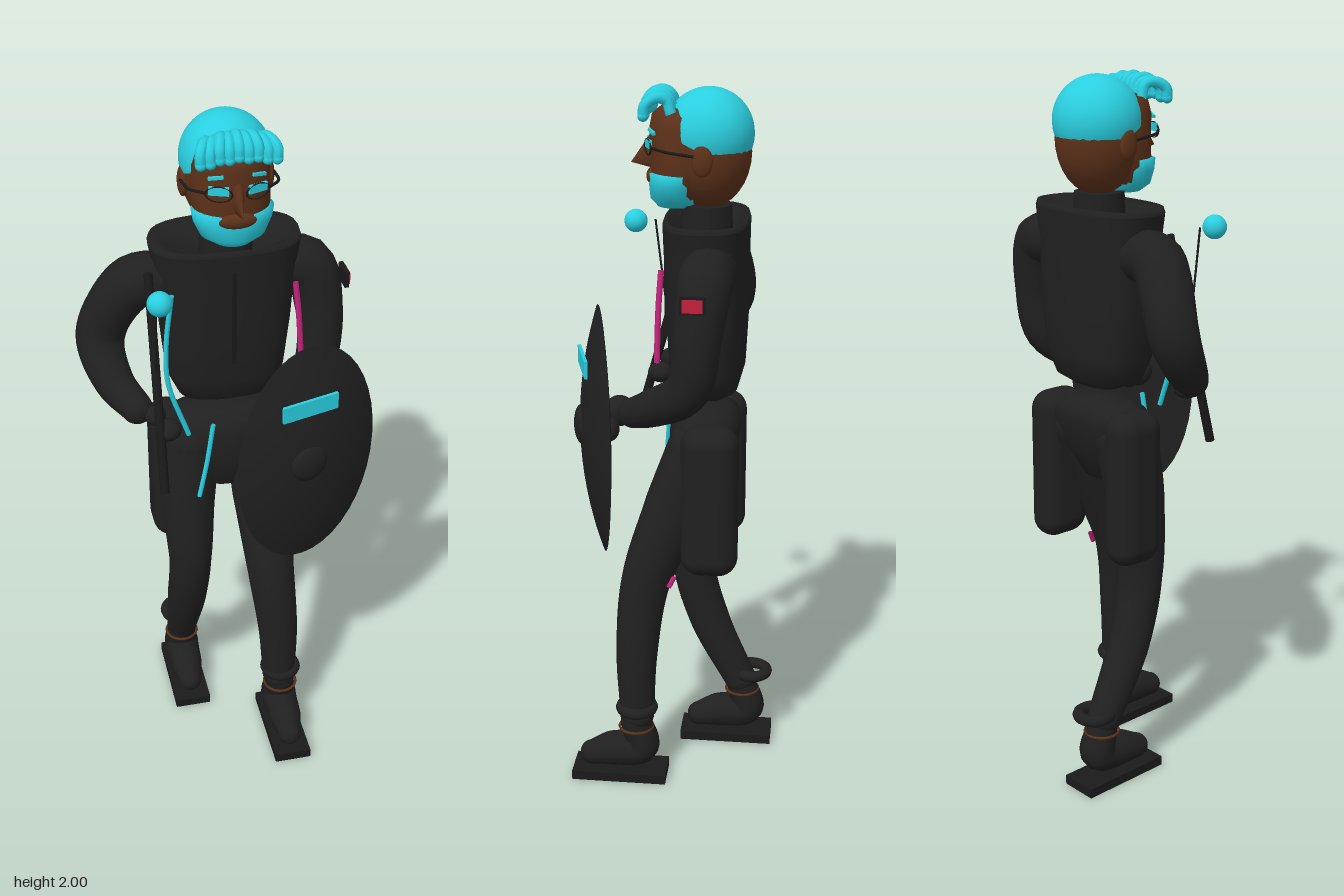
import * as THREE from 'three';
import { RoundedBoxGeometry } from 'three/addons/geometries/RoundedBoxGeometry.js';

const V = (x, y, z) => new THREE.Vector3(x, y, z);

export function createModel() {
  const model = new THREE.Group();
  const mat = (name, color) => {
    const m = new THREE.MeshStandardMaterial({ color, side: THREE.DoubleSide });
    m.name = name;
    return m;
  };
  const black = mat('black cloth', 0x202020);
  const dark = mat('dark rubber', 0x1a1a1a);
  const cyan = mat('cyan', 0x2acfe0);
  const skin = mat('brown skin', 0x5c3119);
  const magenta = mat('magenta', 0xc4247c);
  const red = mat('crimson', 0xc4203c);

  const add = (name, geo, material, x = 0, y = 0, z = 0, parent = model) => {
    const m = new THREE.Mesh(geo, material);
    m.name = name;
    m.position.set(x, y, z);
    parent.add(m);
    return m;
  };
  const ball = (name, material, x, y, z, rx, ry = rx, rz = rx, parent = model) => {
    const m = add(name, new THREE.SphereGeometry(1, 24, 16), material, x, y, z, parent);
    m.scale.set(rx, ry, rz);
    return m;
  };
  const curveOf = (pts) => new THREE.CatmullRomCurve3(pts.map((p) => V(p[0], p[1], p[2])), false, 'centripetal');
  const cord = (name, pts, r, material) =>
    add(name, new THREE.TubeGeometry(curveOf(pts), 20, r, 8), material);

  // Tapered tube through points [x, y, z, radius], with rounded ends
  const limb = (name, pts, material) => {
    const group = new THREE.Group();
    group.name = name;
    const curve = curveOf(pts), seg = 32, sides = 16, n = pts.length - 1;
    const geo = new THREE.TubeGeometry(curve, seg, 1, sides);
    const pos = geo.attributes.position, v = V(0, 0, 0);
    for (let i = 0; i <= seg; i++) {
      const c = curve.getPointAt(i / seg);
      const t = curve.getUtoTmapping(i / seg) * n;
      const k = Math.min(Math.floor(t), n - 1);
      const r = THREE.MathUtils.lerp(pts[k][3], pts[k + 1][3], t - k);
      for (let j = 0; j <= sides; j++) {
        const id = i * (sides + 1) + j;
        v.fromBufferAttribute(pos, id).sub(c).multiplyScalar(r).add(c);
        pos.setXYZ(id, v.x, v.y, v.z);
      }
    }
    add(name + 'Tube', geo, material, 0, 0, 0, group);
    for (const p of [pts[0], pts[n]]) ball(name + 'End', material, p[0], p[1], p[2], p[3], p[3], p[3], group);
    model.add(group);
  };

  // Skin over stacked oval sections [y, centreX, centreZ, halfX, halfZ]; power 1 is a true oval
  const loft = (name, rows, material, power = 1, sides = 28) => {
    const pos = [], index = [];
    const bend = (t) => Math.sign(t) * Math.abs(t) ** power;
    rows.forEach(([y, cx, cz, hx, hz], i) => {
      for (let j = 0; j < sides; j++) {
        const a = (j / sides) * Math.PI * 2;
        pos.push(cx + hx * bend(Math.cos(a)), y, cz + hz * bend(Math.sin(a)));
        if (i === 0) continue;
        const k = (j + 1) % sides, p = (i - 1) * sides, q = i * sides;
        index.push(p + j, q + j, q + k, p + j, q + k, p + k);
      }
    });
    const geo = new THREE.BufferGeometry();
    geo.setAttribute('position', new THREE.Float32BufferAttribute(pos, 3));
    geo.setIndex(index);
    geo.computeVertexNormals();
    return add(name, geo, material);
  };

  // Jacket with an open collar rim that dips to the neck
  loft('jacket', [
    [1.155, 0.015, -0.09, 0, 0], [1.16, 0.015, -0.09, 0.08, 0.05], [1.185, 0.015, -0.09, 0.135, 0.085],
    [1.25, 0.015, -0.09, 0.165, 0.103], [1.4, 0.015, -0.088, 0.18, 0.112],
    [1.56, 0.015, -0.086, 0.19, 0.114], [1.645, 0.015, -0.085, 0.205, 0.116],
  ], black, 0.75);
  loft('collarRim', [
    [1.645, 0.015, -0.085, 0.205, 0.116], [1.66, 0.015, -0.085, 0.2, 0.112],
    [1.65, 0.015, -0.085, 0.17, 0.095], [1.6, 0.015, -0.085, 0.06, 0.06],
  ], black, 0.75);
  add('zipper', new THREE.BoxGeometry(0.012, 0.28, 0.008), dark, 0.018, 1.46, 0.027);
  add('collar', new THREE.CylinderGeometry(0.068, 0.074, 0.12, 24), black, 0.018, 1.63, -0.083);

  // Pelvis
  loft('pelvis', [
    [0.86, 0.01, -0.06, 0, 0], [0.89, 0.01, -0.06, 0.08, 0.06], [0.98, 0.01, -0.075, 0.16, 0.09],
    [1.06, 0.01, -0.085, 0.185, 0.1], [1.1, 0.01, -0.09, 0.165, 0.09], [1.12, 0.01, -0.09, 0.1, 0.06],
    [1.125, 0.01, -0.09, 0, 0],
  ], black);

  // Striding legs
  limb('leftLeg', [[0.105, 1.02, -0.075, 0.09], [0.11, 0.85, -0.01, 0.088], [0.12, 0.62, 0.075, 0.07],
    [0.14, 0.4, 0.1, 0.06], [0.147, 0.2, 0.1, 0.05]], black);
  limb('rightLeg', [[-0.085, 1.02, -0.08, 0.09], [-0.1, 0.85, -0.06, 0.083], [-0.1, 0.6, -0.04, 0.064],
    [-0.105, 0.4, -0.09, 0.06], [-0.105, 0.2, -0.185, 0.048]], black);

  // Shoes, soles, cuffs and hip pouches
  for (const [side, x, z, cuffZ] of [['left', 0.152, 0.09, 0.1], ['right', -0.105, -0.205, -0.222]]) {
    limb(side + 'Shoe', [[x, 0.18, z + 0.015, 0.043], [x, 0.1, z, 0.056], [x, 0.08, z + 0.09, 0.05],
      [x, 0.064, z + 0.145, 0.036]], black);
    add(side + 'Sole', new THREE.BoxGeometry(0.11, 0.028, 0.277), dark, x, 0.014, z + 0.06);
    const cuff = add(side + 'Cuff', new THREE.TorusGeometry(0.045, 0.017, 10, 24), black, x, 0.226, cuffZ);
    cuff.rotation.x = Math.PI / 2;
    const band = add(side + 'Sock', new THREE.TorusGeometry(0.049, 0.004, 8, 24), skin, x, 0.163, z + 0.012);
    band.rotation.x = Math.PI / 2;
  }
  for (const [side, x] of [['left', 0.17], ['right', -0.145]]) {
    add(side + 'HipPouch', new RoundedBoxGeometry(0.112, 0.44, 0.16, 6, 0.055), black, x, 0.895, -0.11);
  }

  // Arms and hands
  limb('rightArm', [[-0.13, 1.54, -0.09, 0.07], [-0.23, 1.53, -0.1, 0.074], [-0.322, 1.36, -0.13, 0.068],
    [-0.3, 1.25, -0.06, 0.055], [-0.25, 1.2, 0.01, 0.044]], black);
  limb('leftArm', [[0.15, 1.54, -0.11, 0.07], [0.245, 1.53, -0.1, 0.075], [0.283, 1.4, -0.085, 0.066],
    [0.275, 1.25, -0.06, 0.06], [0.2, 1.17, 0.045, 0.052], [0.155, 1.14, 0.1, 0.042]], black);
  ball('rightHand', black, -0.175, 1.155, 0.065, 0.038, 0.03, 0.038);
  ball('rightThumb', black, -0.205, 1.19, 0.04, 0.03);
  ball('leftHand', black, 0.112, 1.13, 0.145, 0.043);
  add('badgePlate', new THREE.BoxGeometry(0.012, 0.046, 0.066), dark, 0.348, 1.495, -0.078);
  add('badge', new THREE.BoxGeometry(0.005, 0.034, 0.053), red, 0.356, 1.495, -0.078);

  // Stick leaning back at the top, a thin wire and a floating ball
  const stick = add('stick', new THREE.CylinderGeometry(0.012, 0.013, 0.62, 12), dark, -0.2, 1.293, 0.052);
  stick.rotation.x = -0.268;
  cord('wire', [[-0.2, 1.6, 0.082], [-0.2, 1.5, 0.07], [-0.2, 1.3, 0.045]], 0.003, dark);
  ball('stickBall', cyan, -0.2, 1.595, 0.138, 0.033);

  // Shield, a lens-shaped oval
  const shield = new THREE.Group();
  shield.name = 'shield';
  shield.position.set(0.185, 1.098, 0.185);
  shield.rotation.y = 0.272;
  model.add(shield);
  for (const [name, depth] of [['shieldFront', 0.056], ['shieldBack', -0.018]]) {
    const profile = [];
    for (let i = 0; i <= 10; i++) profile.push(new THREE.Vector2(i / 10, 1 - (i / 10) ** 2));
    const half = add(name, new THREE.LatheGeometry(profile, 40).rotateX(Math.PI / 2), black, 0, 0, 0, shield);
    half.scale.set(0.213, 0.348, depth);
  }
  ball('shieldBoss', black, -0.02, 0.012, 0.05, 0.055, 0.055, 0.022, shield);
  ball('shieldGrip', black, -0.005, 0.0, -0.02, 0.035, 0.035, 0.03, shield);
  add('shieldStripe', new THREE.BoxGeometry(0.166, 0.048, 0.009), cyan, -0.02, 0.19, 0.045, shield);

  // Coloured cords
  cord('chestCord', [[-0.15, 1.55, 0.028], [-0.168, 1.4, 0.03], [-0.165, 1.28, 0.03], [-0.11, 1.1, 0.025]], 0.007, cyan);
  cord('hipCord', [[-0.04, 1.12, 0.022], [-0.06, 1.0, 0.03], [-0.085, 0.89, 0.04]], 0.007, cyan);
  cord('magentaCord', [[0.185, 1.545, 0.02], [0.195, 1.45, 0.026], [0.205, 1.3, 0.03]], 0.008, magenta);
  cord('magentaTassel', [[0.15, 0.65, -0.01], [0.155, 0.62, 0.005]], 0.007, magenta);

  // Head
  const cx = 0.018;
  loft('face', [
    [1.685, cx, 0, 0, 0], [1.69, cx, 0, 0.05, 0.045], [1.71, cx, -0.005, 0.083, 0.065],
    [1.76, cx, -0.015, 0.1, 0.08], [1.82, cx, -0.03, 0.104, 0.096], [1.89, cx, -0.03, 0.101, 0.1],
    [1.925, cx, -0.03, 0.09, 0.093], [1.945, cx, -0.03, 0.065, 0.07], [1.95, cx, -0.03, 0, 0],
  ], skin);
  ball('skull', skin, cx, 1.83, -0.088, 0.114, 0.15, 0.114);
  const cap = add('hairCap', new THREE.SphereGeometry(1, 32, 20, 0, Math.PI * 2, 0, Math.PI * 0.597), cyan, cx, 1.876, -0.088);
  cap.scale.setScalar(0.12);
  cap.rotation.x = -0.4;
  loft('beard', [
    [1.678, cx, 0, 0, 0], [1.684, cx, 0, 0.05, 0.048], [1.706, cx, 0, 0.085, 0.067],
    [1.745, cx, -0.002, 0.103, 0.073], [1.775, cx, -0.002, 0.108, 0.073], [1.778, cx, -0.002, 0.09, 0.06],
  ], cyan);
  ball('mouth', skin, cx, 1.764, 0.06, 0.05, 0.022, 0.018);
  const nose = add('nose', new THREE.ConeGeometry(0.045, 0.085, 12), skin, cx, 1.812, 0.08);
  nose.rotation.x = Math.PI / 2 + 0.36;
  nose.scale.set(0.5, 1, 1.3);

  // Ears, glasses and lenses, mirrored
  for (const [side, s] of [['left', 1], ['right', -1]]) {
    ball(side + 'Ear', skin, cx + s * 0.113, 1.82, -0.08, 0.014, 0.042, 0.028);
    const lens = add(side + 'Lens', new THREE.BoxGeometry(0.052, 0.022, 0.008), cyan, cx + s * 0.05, 1.853, 0.066);
    lens.rotation.y = s * 0.35;
    const brow = add(side + 'Brow', new THREE.BoxGeometry(0.04, 0.008, 0.008), cyan, cx + s * 0.055, 1.885, 0.057);
    brow.rotation.set(0, s * 0.45, -s * 0.2);
    const rim = add(side + 'GlassesRim', new THREE.TorusGeometry(0.034, 0.0025, 6, 24), dark, cx + s * 0.05, 1.845, 0.068);
    rim.scale.y = 0.6;
    rim.rotation.y = s * 0.35;
    cord(side + 'GlassesArm', [[cx + s * 0.083, 1.847, 0.055], [cx + s * 0.115, 1.842, 0.015], [cx + s * 0.122, 1.832, -0.06]], 0.004, dark);
  }

  // Curled fringe
  for (let i = 0; i < 9; i++) {
    const t = (i - 4) / 4, b = cx + t * 0.07, f = cx + t * 0.096, sag = 0.012 * t * t + 0.004 * (i % 2);
    cord('fringeCurl', [[b, 1.945 - sag, 0.005], [b, 1.978 - sag, 0.018], [(b + f) / 2, 1.985 - sag, 0.045],
      [f, 1.968 - sag, 0.07], [f, 1.942 - sag, 0.074]], 0.0145, cyan);
    ball('fringeTip', cyan, f, 1.942 - sag, 0.074, 0.0145);
  }
  return model;
}
